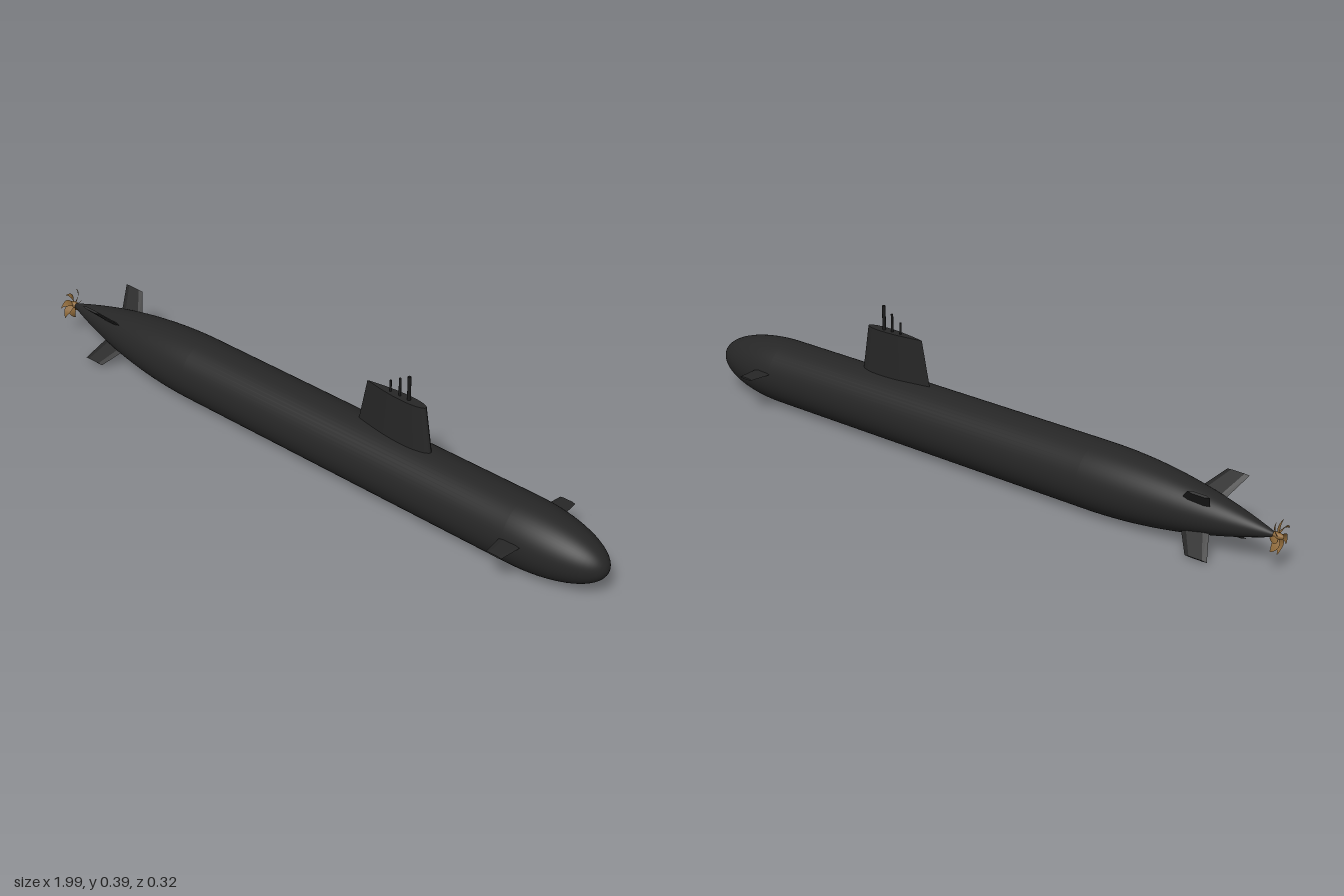
import * as THREE from 'three';

const AXIS_Y = 0.0985;
const R = 0.096;

// Closed solid lofted through rings of [x, y, z] points, capped at both ends
function loft(rings) {
  const pos = [], n = rings[0].length;
  const tri = (a, b, c) => pos.push(...a, ...b, ...c);
  for (let i = 0; i < rings.length - 1; i++) {
    for (let j = 0; j < n; j++) {
      const k = (j + 1) % n, a = rings[i], b = rings[i + 1];
      tri(a[j], a[k], b[k]);
      tri(a[j], b[k], b[j]);
    }
  }
  const first = rings[0], last = rings[rings.length - 1];
  for (let j = 1; j < n - 1; j++) {
    tri(first[0], first[j + 1], first[j]);
    tri(last[0], last[j], last[j + 1]);
  }
  const geo = new THREE.BufferGeometry();
  geo.setAttribute('position', new THREE.Float32BufferAttribute(pos, 3));
  geo.computeVertexNormals();
  return geo;
}

// Teardrop section: rounded towards +x, pointed towards -x
function foil(xAft, xFore, half, y, steps = 14) {
  const ring = [];
  for (let i = 0; i < steps * 2; i++) {
    const a = (i / (steps * 2)) * Math.PI * 2;
    const t = (1 - Math.cos(a)) / 2; // 0 at the bow edge
    const w = 2.6 * Math.sqrt(t) * (1 - t) * half;
    ring.push([xFore + (xAft - xFore) * t, y, (a <= Math.PI ? -1 : 1) * w]);
  }
  return ring;
}

// Flat fin section, thin at both edges
function finRing(xAft, xFore, half, y) {
  const c = xFore - xAft;
  return [
    [xFore, y, 0], [xFore - c * 0.2, y, -half], [xAft + c * 0.2, y, -half],
    [xAft, y, 0], [xAft + c * 0.2, y, half], [xFore - c * 0.2, y, half],
  ];
}

// One skewed, twisted propeller blade pointing up from the shaft
function bladeGeometry() {
  const pos = [], idx = [], rows = 8, cols = 4;
  for (let i = 0; i <= rows; i++) {
    const t = i / rows, r = 0.008 + 0.041 * t;
    const chord = 0.011 + 0.014 * Math.sin(Math.PI * Math.min(1, t * 1.05)) - 0.008 * t;
    const pitch = 0.95 - 0.5 * t;
    const skew = 0.55 * t * t;
    for (let j = 0; j <= cols; j++) {
      const s = (j / cols - 0.5) * chord;
      const a = skew + (s * Math.cos(pitch)) / r;
      pos.push(s * Math.sin(pitch) - 0.004 * t, r * Math.cos(a), r * Math.sin(a));
      if (i < rows && j < cols) {
        const p = i * (cols + 1) + j, q = p + cols + 1;
        idx.push(p, p + 1, q, p + 1, q + 1, q);
      }
    }
  }
  const geo = new THREE.BufferGeometry();
  geo.setAttribute('position', new THREE.Float32BufferAttribute(pos, 3));
  geo.setIndex(idx);
  geo.computeVertexNormals();
  return geo;
}

export function createModel() {
  const black = new THREE.MeshStandardMaterial({ color: 0x262626 });
  black.name = 'hull black';
  const dark = new THREE.MeshStandardMaterial({ color: 0x1a1a1a });
  dark.name = 'mast black';
  const bronze = new THREE.MeshStandardMaterial({ color: 0x8f6a3a, side: THREE.DoubleSide });
  bronze.name = 'propeller bronze';

  const model = new THREE.Group();
  model.name = 'submarine';
  const add = (parent, name, geo, mat) => {
    const mesh = new THREE.Mesh(geo, mat);
    mesh.name = name;
    parent.add(mesh);
    return mesh;
  };

  // Hull: tapering stern, straight middle, elliptical bow
  const profile = [new THREE.Vector2(0, -0.972)];
  for (let i = 0; i <= 18; i++) {
    const t = 1 - i / 18;
    profile.push(new THREE.Vector2(0.006 + (R - 0.006) * (1 - t * t), -0.42 - 0.552 * t));
  }
  for (let i = 0; i <= 18; i++) {
    const a = (i / 18) * Math.PI / 2;
    profile.push(new THREE.Vector2(Math.max(0, R * Math.cos(a)), 0.73 + 0.266 * Math.sin(a)));
  }
  const hull = add(model, 'hull', new THREE.LatheGeometry(profile, 56), black);
  hull.rotation.z = -Math.PI / 2;
  hull.position.y = AXIS_Y;

  // Sail with tapered teardrop section
  add(model, 'sail', loft([foil(0.168, 0.427, 0.021, 0.175), foil(0.2, 0.402, 0.0165, 0.326)]), black);

  // Masts: x, top, radius
  for (const [x, top, r] of [[0.28, 0.36, 0.003], [0.312, 0.379, 0.0035], [0.343, 0.397, 0.005]]) {
    const h = top - 0.31;
    add(model, 'mast', new THREE.CylinderGeometry(r, r, h, 14), dark).position.set(x, 0.31 + h / 2, 0);
  }

  // Bow planes
  const bowPlane = loft([finRing(0.719, 0.793, 0.0035, 0.05), finRing(0.733, 0.781, 0.0025, 0.158)]);
  for (const side of [1, -1]) {
    const plane = add(model, side > 0 ? 'bowPlaneFront' : 'bowPlaneBack', bowPlane, black);
    plane.rotation.x = side * Math.PI / 2;
    plane.position.y = 0.117;
  }

  // Four stern fins in an X
  const sternFin = loft([finRing(-0.79, -0.695, 0.004, 0.025), finRing(-0.834, -0.766, 0.0035, 0.126)]);
  for (let i = 0; i < 4; i++) {
    const fin = add(model, 'sternFin', sternFin, black);
    fin.rotation.x = Math.PI / 4 + (i * Math.PI) / 2;
    fin.position.y = AXIS_Y;
  }

  // Propeller: hub and seven blades
  const propeller = new THREE.Group();
  propeller.name = 'propeller';
  propeller.position.set(-0.98, AXIS_Y, 0);
  model.add(propeller);
  const hubProfile = [[0, -0.018], [0.005, -0.015], [0.009, -0.004], [0.0095, 0.01], [0, 0.012]]
    .map(([r, y]) => new THREE.Vector2(r, y));
  add(propeller, 'hub', new THREE.LatheGeometry(hubProfile, 20), bronze).rotation.z = -Math.PI / 2;
  const blade = bladeGeometry();
  for (let i = 0; i < 7; i++) {
    add(propeller, 'blade', blade, bronze).rotation.x = (i / 7) * Math.PI * 2;
  }

  return model;
}
